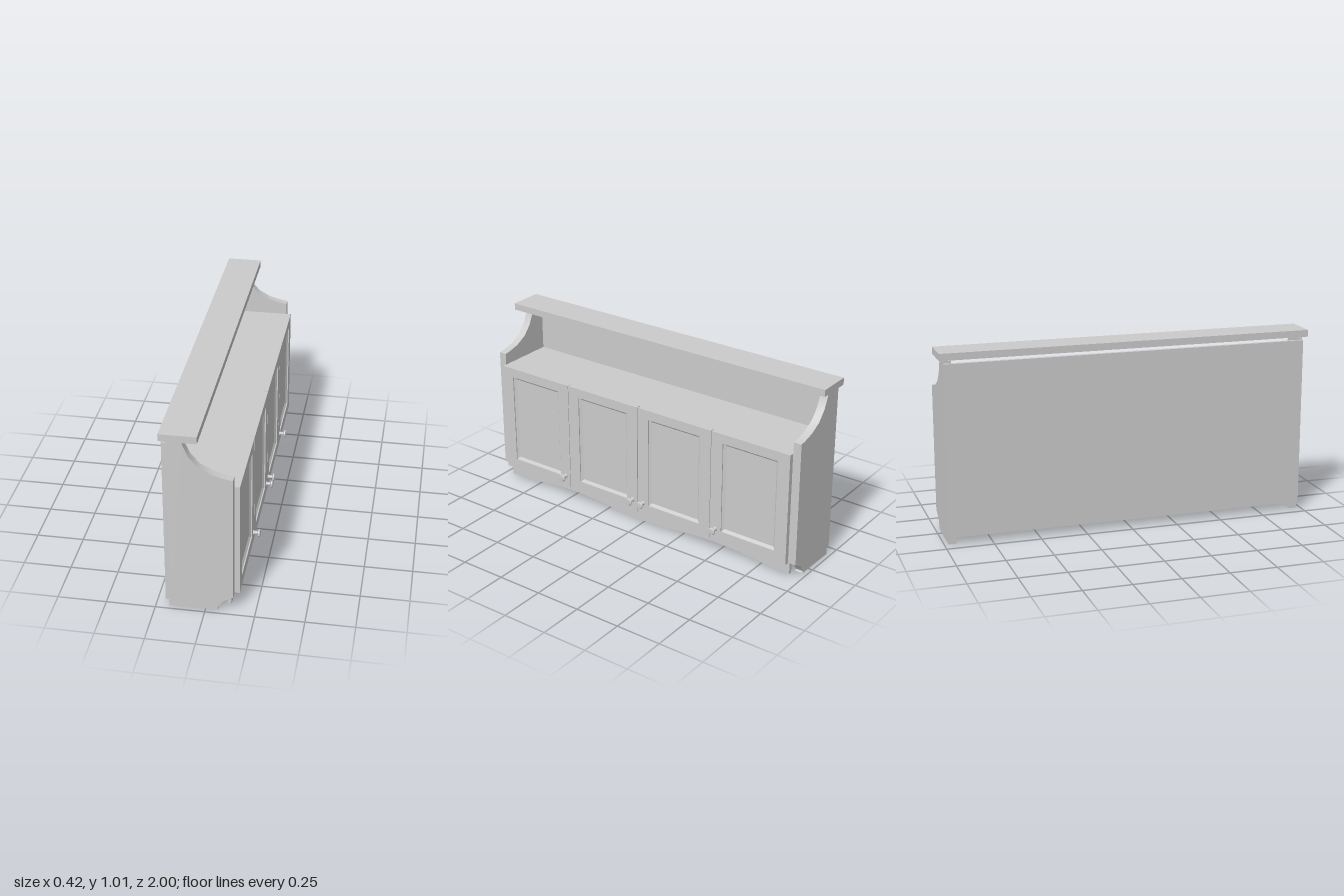
import * as THREE from 'three';
import { toCreasedNormals } from 'three/addons/utils/BufferGeometryUtils.js';

const material = new THREE.MeshStandardMaterial({ color: 0xcccccc });

export function createModel() {
  const group = new THREE.Group();

  const add = (name, geometry, parent = group) => {
    const mesh = new THREE.Mesh(geometry, material);
    mesh.name = name;
    parent.add(mesh);
    return mesh;
  };

  // box given by its min and max on each axis
  const box = (name, x0, x1, y0, y1, z0, z1, parent) => {
    const g = new THREE.BoxGeometry(x1 - x0, y1 - y0, z1 - z0);
    g.translate((x0 + x1) / 2, (y0 + y1) / 2, (z0 + z1) / 2);
    return add(name, g, parent);
  };

  const shapeOf = pts => new THREE.Shape(pts.map(([x, y]) => new THREE.Vector2(x, y)));
  const extrude = (shape, depth) =>
    new THREE.ExtrudeGeometry(shape, { depth, bevelEnabled: false });
  const rect = (x0, y0, x1, y1) => [[x0, y0], [x1, y0], [x1, y1], [x0, y1]];

  // carcass
  box('topBoard', -0.21, -0.025, 0.975, 1.012, -1, 1);
  box('backPanel', -0.2, -0.18, 0.042, 0.955, -0.978, 0.978);
  box('shelfBody', -0.18, 0.14, 0.09, 0.712, -0.935, 0.935);

  // side panels with scooped top and notched foot
  const sideShape = shapeOf([
    [-0.182, 0.003], [0.065, 0.008], [0.06, 0.018], [0.082, 0.055], [0.105, 0.072],
    [0.14, 0.092], [0.14, 0.776], [0.106, 0.781], [0.04, 0.798], [-0.025, 0.833],
    [-0.07, 0.885], [-0.095, 0.94], [-0.103, 0.968], [-0.182, 0.968],
  ]);
  for (const [name, z] of [['leftSide', 0.935], ['rightSide', -0.978]]) {
    const g = toCreasedNormals(extrude(sideShape, 0.043), 0.5);
    g.translate(0, 0, z);
    add(name, g);
  }

  // wavy valance under the doors
  const wave = [];
  for (let i = 0; i <= 48; i++) {
    const z = -0.935 + (1.87 * i) / 48;
    wave.push([z, 0.033 - 0.015 * Math.cos((2 * Math.PI * z) / 0.935)]);
  }
  const valance = toCreasedNormals(
    extrude(shapeOf([...wave, [0.935, 0.092], [-0.935, 0.092]]), 0.02), 0.5);
  valance.rotateY(Math.PI / 2).translate(0.105, 0, 0);
  add('valance', valance);

  // knob turned around its axis, pointing along +x
  const knobGeometry = toCreasedNormals(new THREE.LatheGeometry([
    [0, 0], [0.013, 0], [0.01, 0.008], [0.009, 0.024], [0.014, 0.027],
    [0.02, 0.03], [0.021, 0.035], [0.018, 0.039], [0, 0.041],
  ].map(([r, h]) => new THREE.Vector2(r, h)), 20), 0.7);
  knobGeometry.rotateZ(-Math.PI / 2);

  // doors: frame, sloped moulding and recessed panel, facing +x
  const w = 0.232, y0 = 0.09, y1 = 0.714, ox = 0.163, oy0 = 0.15, oy1 = 0.662;
  const frameShape = shapeOf(rect(-w, y0, w, y1));
  frameShape.holes.push(new THREE.Path(shapeOf(rect(-ox, oy0, ox, oy1)).getPoints()));
  const frameGeometry = extrude(frameShape, 0.026).rotateY(Math.PI / 2);

  const mouldingGeometry = () => {
    const outer = rect(-ox, oy0, ox, oy1);
    const s = 0.014;
    const inner = rect(-ox + s, oy0 + s, ox - s, oy1 - s);
    const pos = [];
    for (let i = 0; i < 4; i++) {
      const j = (i + 1) % 4;
      const a = [...outer[i], 0.02], b = [...outer[j], 0.02];
      const c = [...inner[j], 0.011], d = [...inner[i], 0.011];
      pos.push(...a, ...b, ...c, ...a, ...c, ...d);
    }
    const g = new THREE.BufferGeometry();
    g.setAttribute('position', new THREE.Float32BufferAttribute(pos, 3));
    g.computeVertexNormals();
    return g.rotateY(Math.PI / 2);
  };

  [0.7015, 0.2345, -0.2345, -0.7015].forEach((z, i) => {
    const door = new THREE.Group();
    door.name = 'door' + (i + 1);
    door.position.set(0.14, 0, z);
    add('doorFrame', frameGeometry, door);
    add('doorMoulding', mouldingGeometry(), door);
    box('doorPanel', 0, 0.011, oy0, oy1, -ox, ox, door);
    const knob = add('knob', knobGeometry, door);
    knob.position.set(0.025, 0.156, z > 0 ? -0.199 : 0.199);
    group.add(door);
  });

  return group;
}
